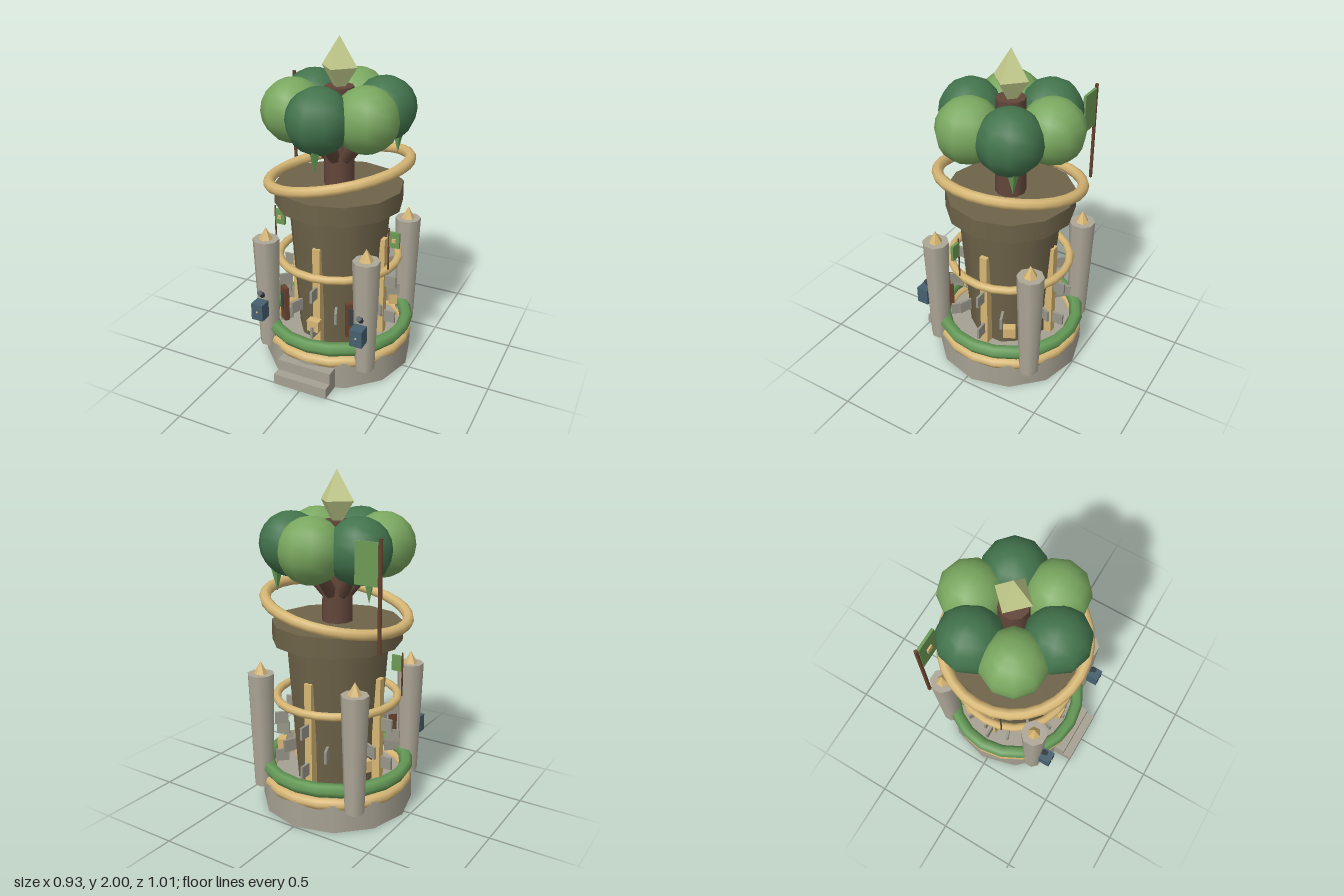
import * as THREE from 'three';

const C = {
  stone: 0xa5a092, pillar: 0xada797, tower: 0x6e6349, gold: 0xd6b674, green: 0x659a57,
  leafDark: 0x42734c, leafLight: 0x79a75f, bark: 0x62463a, crystal: 0xc3cc8c,
  blue: 0x46606e, block: 0x99968a, door: 0x69432f, dark: 0x3a434a, flag: 0x6d9a55,
};

function mat(color, flat) {
  return new THREE.MeshStandardMaterial({ color, flatShading: !!flat });
}

function add(parent, name, geo, color, pos = [0, 0, 0], flat = false) {
  const m = new THREE.Mesh(geo, mat(color, flat));
  m.name = name;
  m.position.set(...pos);
  parent.add(m);
  return m;
}

const box = (w, h, d) => new THREE.BoxGeometry(w, h, d);
const cyl = (rt, rb, h, n) => new THREE.CylinderGeometry(rt, rb, h, n);

// Group turned about the tower axis, its local +z pointing outward
function spoke(parent, name, angle) {
  const g = new THREE.Group();
  g.name = name;
  g.rotation.y = angle;
  parent.add(g);
  return g;
}

// Horizontal ring
function hoop(parent, name, R, r, y, color, sides, segs) {
  const m = add(parent, name, new THREE.TorusGeometry(R, r, sides, segs).rotateX(Math.PI / 2), color, [0, y, 0]);
  return m;
}

// Pole with a flat flag toward +x and a small emblem on it
function banner(parent, name, x, z, y0, y1, w, h, poleR, poleColor) {
  const g = new THREE.Group();
  g.name = name;
  g.position.set(x, 0, z);
  parent.add(g);
  add(g, 'pole', cyl(poleR, poleR, y1 - y0, 6), poleColor, [0, (y0 + y1) / 2, 0]);
  const cx = poleR + w / 2, cy = y1 - 0.02 - h / 2;
  add(g, 'cloth', box(w, h, 0.016), C.flag, [cx, cy, 0]);
  add(g, 'emblem', box(w * 0.2 + 0.01, w * 0.2 + 0.01, 0.012), C.gold, [cx, cy, 0.012]);
}

export function createModel() {
  const root = new THREE.Group();
  root.name = 'treeTower';
  const t = new THREE.Group();
  t.name = 'towerAxis';
  t.position.z = -0.035;
  root.add(t);

  // Base, steps and lower rings
  add(t, 'base', cyl(0.458, 0.462, 0.17, 12), C.stone, [0, 0.085, 0]);
  add(t, 'lowerStep', box(0.345, 0.065, 0.14), C.stone, [0, 0.0325, 0.47]);
  add(t, 'upperStep', box(0.345, 0.07, 0.1), C.stone, [0, 0.1, 0.435]);
  hoop(t, 'goldBaseRing', 0.425, 0.035, 0.163, C.gold, 8, 20);
  hoop(t, 'greenBaseRing', 0.426, 0.041, 0.25, C.green, 6, 20);

  // Tower body, crown and rings
  add(t, 'towerBody', cyl(0.31, 0.25, 0.87, 10), C.tower, [0, 0.595, 0]);
  add(t, 'crown', cyl(0.385, 0.385, 0.117, 12), C.tower, [0, 1.0785, 0]);
  hoop(t, 'towerRing', 0.365, 0.025, 0.675, C.gold, 8, 24);
  const tilted = hoop(t, 'tiltedRing', 0.422, 0.033, 1.227, C.gold, 8, 28);
  tilted.rotation.z = 0.2;

  // Upright strips on the tower
  for (let i = 0; i < 4; i++) {
    add(spoke(t, 'towerStrip', i * Math.PI / 2), 'strip', box(0.048, 0.64, 0.05), C.gold, [0, 0.51, 0.285]);
  }

  // Three rows of thin radial blocks, the middle row offset by half a step
  [[0.55, 0], [0.427, 0.5], [0.307, 0]].forEach(([y, off]) => {
    for (let i = 0; i < 8; i++) {
      add(spoke(t, 'wallBlock', (i + off) * Math.PI / 4), 'block', box(0.015, 0.075, 0.08), C.block, [0, y, 0.34]);
    }
  });

  // Gold chests
  for (let i = 0; i < 3; i++) {
    add(spoke(t, 'chest', i * Math.PI * 2 / 3), 'chestBox', box(0.075, 0.07, 0.05), C.gold, [0, 0.345, 0.34]);
  }

  // Door panels on both sides of the front
  for (const s of [-1, 1]) {
    const d = spoke(t, 'doorPanel', s * 0.63);
    add(d, 'doorFrame', box(0.06, 0.22, 0.03), C.door, [0, 0.42, 0.372]);
    add(d, 'doorWindow', box(0.03, 0.11, 0.012), C.dark, [0, 0.445, 0.386]);
  }

  // Four pillars with pointed caps
  for (const sx of [-1, 1]) {
    for (const sz of [-1, 1]) {
      const p = new THREE.Group();
      p.name = 'pillar';
      p.position.set(sx * 0.323, 0, sz * 0.323);
      t.add(p);
      add(p, 'shaft', cyl(0.08, 0.058, 0.71, 8).rotateY(Math.PI / 8), C.pillar, [0, 0.485, 0]);
      add(p, 'cap', new THREE.ConeGeometry(0.042, 0.075, 6), C.gold, [0, 0.877, 0], true);
      if (sz < 0) continue;
      // Blue box with a knob and a tilted spout
      add(p, 'lanternBox', box(0.076, 0.106, 0.075), C.blue, [0, 0.408, 0.1]);
      add(p, 'lanternKnob', new THREE.ConeGeometry(0.008, 0.014, 6).rotateX(Math.PI / 2), C.gold, [0, 0.41, 0.143]);
      const spout = add(p, 'spout', cyl(0.017, 0.017, 0.045, 8), C.dark, [0, 0.503, 0.078]);
      spout.rotation.x = 0.8;
    }
  }

  // Tree trunk and crystal
  add(t, 'trunk', cyl(0.085, 0.092, 0.6, 10), C.bark, [0, 1.42, 0]);
  const crystal = add(t, 'crystal', new THREE.OctahedronGeometry(1), C.crystal, [0, 1.83, 0], true);
  crystal.scale.set(0.11, 0.17, 0.11);

  // Branches and leaf balls in two alternating greens
  for (let i = 0; i < 6; i++) {
    const g = spoke(t, 'limb', i * Math.PI / 3);
    const branch = add(g, 'branch', cyl(0.032, 0.042, 0.34, 7), C.bark, [0, 1.39, 0.13]);
    branch.rotation.x = 0.72;
    add(g, 'leafBall', new THREE.SphereGeometry(0.188, 10, 10).rotateY(Math.PI / 2),
      i % 2 ? C.leafLight : C.leafDark, [0, 1.584, 0.26]);
  }

  // Hanging leaf points
  for (let i = 0; i < 3; i++) {
    add(spoke(t, 'hangingLeaf', 0.05 + i * Math.PI * 2 / 3), 'leafPoint',
      new THREE.ConeGeometry(0.045, 0.18, 4).rotateX(Math.PI), C.green, [0, 1.4, 0.345], true);
  }

  // Large banner at the back and two small ones at the sides
  banner(t, 'largeBanner', -0.455, -0.298, 1.085, 1.695, 0.14, 0.23, 0.011, C.door);
  for (const x of [-0.373, 0.373]) banner(t, 'smallBanner', x, 0.122, 0.7, 0.965, 0.062, 0.095, 0.005, C.door);

  return root;
}
